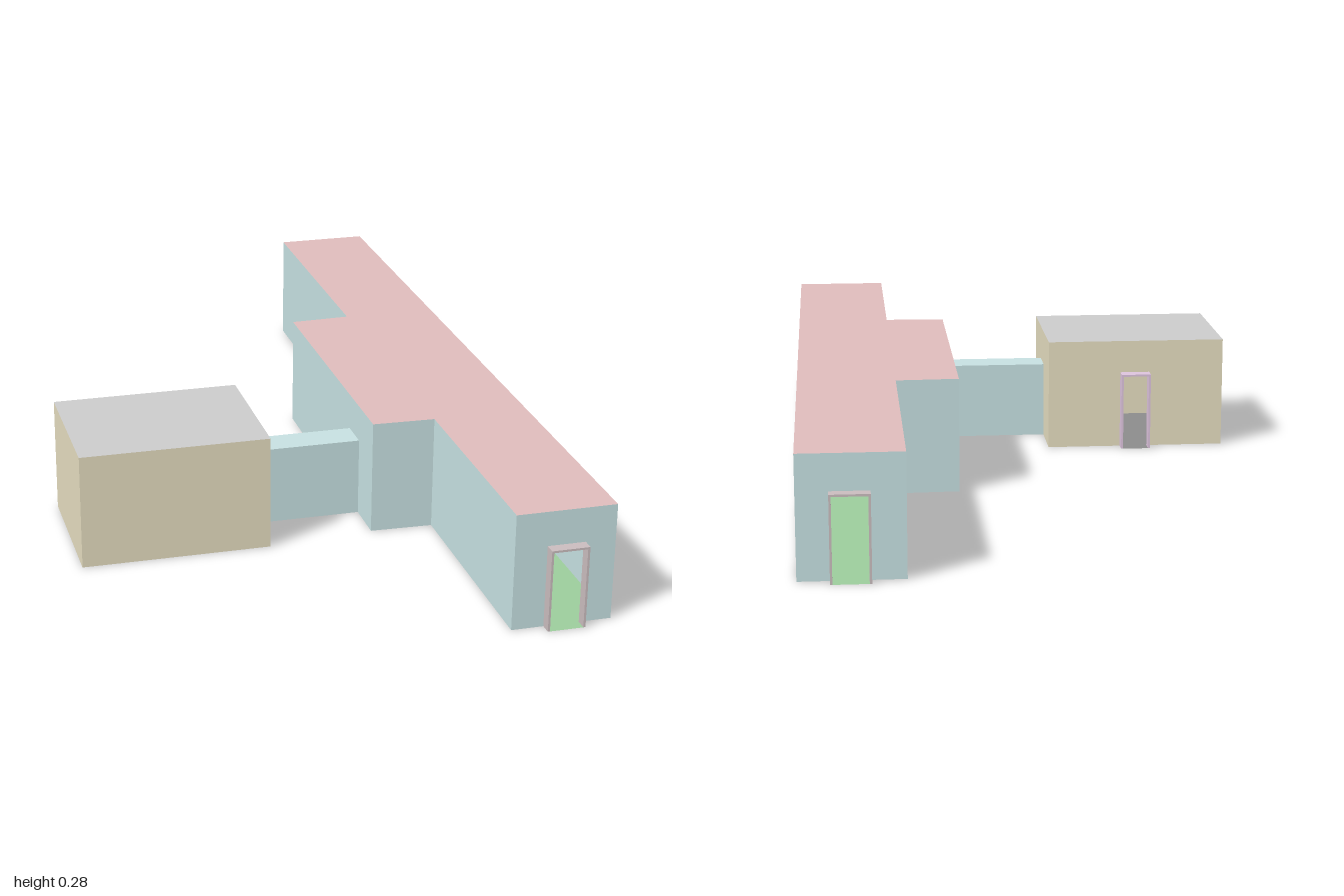
import * as THREE from 'three';

const WALL_H = 0.277, DOOR_H = 0.19, T = 0.005;

const paint = (color) => new THREE.MeshStandardMaterial({ color, side: THREE.DoubleSide });
const mats = {
  wall: paint(0xc6e0e1), wallTan: paint(0xe4dcbf), roof: paint(0xdfbcbc), roofGrey: paint(0xcccccc),
  floor: paint(0x9ccc9c), floorGrey: paint(0x8c8c8c), frame: paint(0xc9bcbe), frameLilac: paint(0xdcc3dc),
};

function add(parent, name, geometry, material) {
  const mesh = new THREE.Mesh(geometry, material);
  mesh.name = name;
  parent.add(mesh);
  return mesh;
}

// Upright wall from a to b ([x, z]); a door notch spans door[0]..door[1] along it
function addWall(parent, name, a, b, height, material, door) {
  const dx = b[0] - a[0], dz = b[1] - a[1], len = Math.hypot(dx, dz);
  const s = new THREE.Shape();
  s.moveTo(0, 0);
  if (door) {
    s.lineTo(door[0], 0);
    s.lineTo(door[0], DOOR_H);
    s.lineTo(door[1], DOOR_H);
    s.lineTo(door[1], 0);
  }
  s.lineTo(len, 0);
  s.lineTo(len, height);
  s.lineTo(0, height);
  const wall = add(parent, name, new THREE.ShapeGeometry(s), material);
  wall.position.set(a[0], 0, a[1]);
  wall.rotation.y = Math.atan2(-dz, dx);
}

// Flat slab of a plan outline, facing up for roofs and down for floors
function addSlab(parent, name, outline, y, material) {
  const s = new THREE.Shape(outline.map(([x, z]) => new THREE.Vector2(x, -z)));
  const slab = add(parent, name, new THREE.ShapeGeometry(s).rotateX(-Math.PI / 2), material);
  slab.position.y = y;
}

const rect = (x0, x1, z0, z1) => [[x0, z1], [x1, z1], [x1, z0], [x0, z0]];

// Room: walls round an outline, with doors given by wall index
function addRoom(parent, name, outline, doors, wallMat, roofMat, floorMat) {
  const room = new THREE.Group();
  room.name = name;
  outline.forEach((a, i) =>
    addWall(room, name + 'Wall', a, outline[(i + 1) % outline.length], WALL_H, wallMat, doors[i]));
  addSlab(room, name + 'Roof', outline, WALL_H, roofMat);
  addSlab(room, name + 'Floor', outline, 0, floorMat);
  parent.add(room);
}

// Projecting door surround between z0 and z1, with its threshold
function addDoorFrame(parent, name, x0, x1, z0, z1, material, floorMat) {
  const s = new THREE.Shape();
  [[x0 - T, 0], [x0, 0], [x0, DOOR_H], [x1, DOOR_H], [x1, 0], [x1 + T, 0],
    [x1 + T, DOOR_H + T], [x0 - T, DOOR_H + T]]
    .forEach(([x, y], i) => (i ? s.lineTo(x, y) : s.moveTo(x, y)));
  const geo = new THREE.ExtrudeGeometry(s, { depth: z1 - z0, bevelEnabled: false });
  add(parent, name, geo, material).position.z = z0;
  addSlab(parent, name + 'Threshold', rect(x0, x1, z0, z1), 0, floorMat);
}

export function createModel() {
  const model = new THREE.Group();
  model.name = 'building';

  // Long hall with a widened middle and a door at each end
  const E = 0.973;
  const hall = [[0.31, E], [0.543, E], [0.543, -E], [0.31, -E],
    [0.31, -0.313], [0.16, -0.308], [0.16, 0.415], [0.31, 0.42]];
  addRoom(model, 'hall', hall, { 0: [0.08, 0.158], 2: [0.075, 0.153], 5: [0.533, 0.613] },
    mats.wall, mats.roof, mats.floor);
  addDoorFrame(model, 'frontDoorFrame', 0.39, 0.468, E, 1, mats.frame, mats.floor);
  addDoorFrame(model, 'backDoorFrame', 0.39, 0.468, -1, -E, mats.frame, mats.floor);

  // Side block with one rear door and an opening to the passage
  addRoom(model, 'sideBlock', rect(-0.545, -0.095, 0.09, 0.438), { 1: [0.133, 0.213], 2: [0.19, 0.255] },
    mats.wallTan, mats.roofGrey, mats.floorGrey);
  addDoorFrame(model, 'sideDoorFrame', -0.35, -0.285, 0.058, 0.09, mats.frameLilac, mats.floorGrey);

  // Low passage joining the two
  const link = new THREE.Group();
  link.name = 'passage';
  addWall(link, 'passageFrontWall', [-0.095, 0.305], [0.16, 0.305], DOOR_H, mats.wall);
  addWall(link, 'passageBackWall', [0.16, 0.225], [-0.095, 0.225], DOOR_H, mats.wall);
  addSlab(link, 'passageRoof', rect(-0.095, 0.16, 0.225, 0.305), DOOR_H, mats.wall);
  addSlab(link, 'passageFloor', rect(-0.095, 0.16, 0.225, 0.305), 0, mats.floor);
  model.add(link);

  return model;
}
